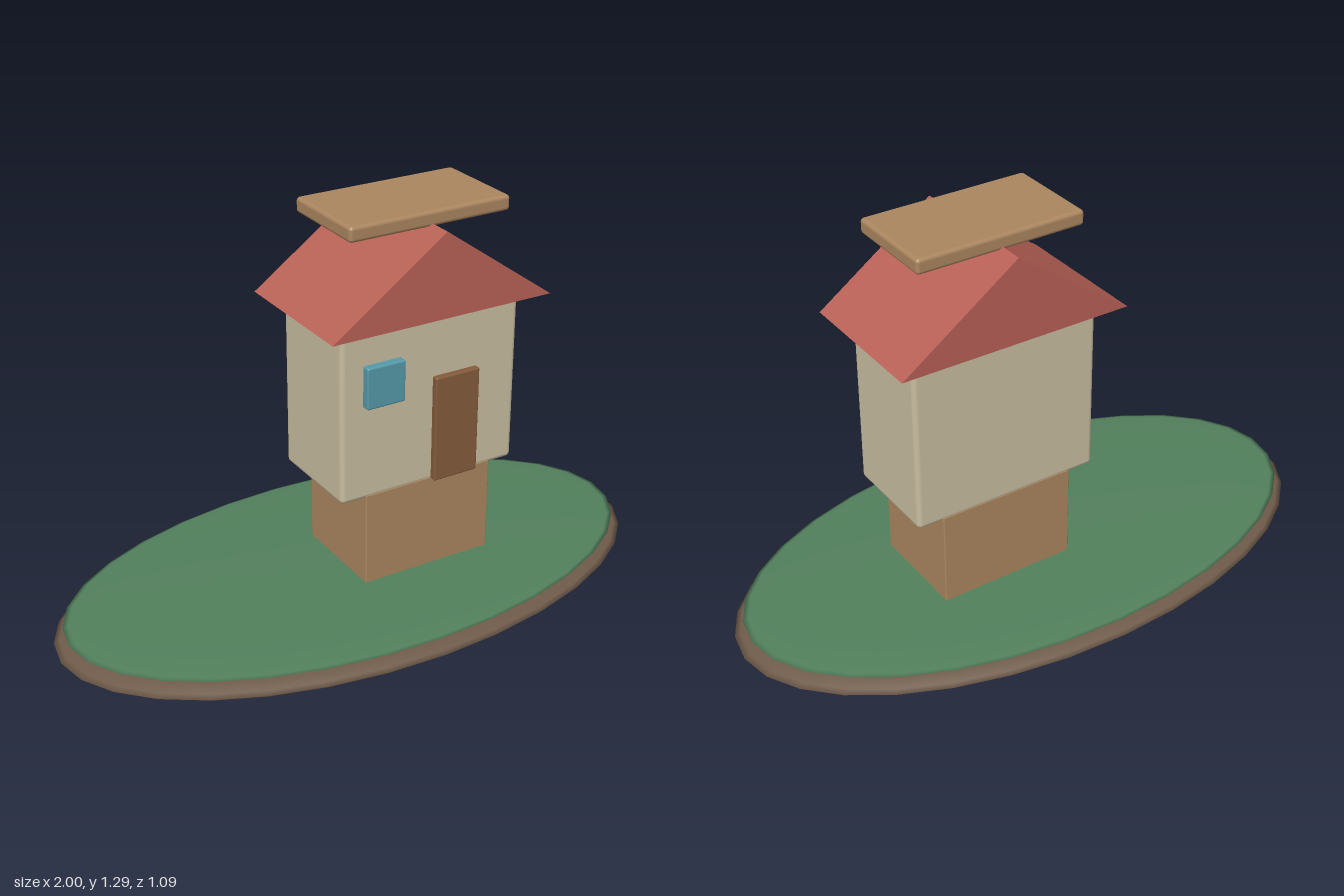
import * as THREE from 'three';
import { RoundedBoxGeometry } from 'three/addons/geometries/RoundedBoxGeometry.js';

const mat = (name, color) => {
  const m = new THREE.MeshStandardMaterial({ color });
  m.name = name;
  return m;
};

export function createModel() {
  const model = new THREE.Group();
  model.name = 'houseOnIsland';

  const earth = mat('earthBrown', 0x6e5a49);
  const grass = mat('grassGreen', 0x52805c);
  const wood = mat('lightWood', 0xab865f);
  const plaster = mat('plasterCream', 0xc9bda0);
  const tile = mat('roofRed', 0xb86156);
  const doorWood = mat('doorBrown', 0x855b3d);
  const glass = mat('windowBlue', 0x5599a9);

  const add = (name, geometry, material, x, y, z) => {
    const mesh = new THREE.Mesh(geometry, material);
    mesh.name = name;
    mesh.position.set(x, y, z);
    model.add(mesh);
    return mesh;
  };

  // Box given by its two extreme corners, with softened edges
  const box = (name, material, [x0, y0, z0], [x1, y1, z1], radius) => {
    const size = [x1 - x0, y1 - y0, z1 - z0];
    const geometry = radius
      ? new RoundedBoxGeometry(...size, 3, radius)
      : new THREE.BoxGeometry(...size);
    return add(name, geometry, material, (x0 + x1) / 2, (y0 + y1) / 2, (z0 + z1) / 2);
  };

  // Island: two flattened spheres
  const disc = (name, material, y, rx, ry, rz) =>
    add(name, new THREE.SphereGeometry(1, 32, 16).scale(rx, ry, rz), material, 0, y, 0);
  disc('islandBase', earth, 0.058, 1, 0.055, 0.545);
  disc('grassTop', grass, 0.105, 0.97, 0.017, 0.525);

  // House
  box('lowerFloor', wood, [-0.053, 0.09, -0.17], [0.4, 0.43, 0.17], 0.004);
  box('upperFloor', plaster, [-0.14, 0.42, -0.17], [0.485, 0.987, 0.17], 0.016);
  box('door', doorWood, [0.18, 0.425, 0.165], [0.337, 0.775, 0.191], 0.005);
  box('window', glass, [-0.065, 0.732, 0.165], [0.067, 0.867, 0.196], 0.006);

  // Gabled roof, ridge running front to back
  const gable = new THREE.Shape([
    new THREE.Vector2(-0.38, 0),
    new THREE.Vector2(0.38, 0),
    new THREE.Vector2(0, 0.27),
  ]);
  const roofGeometry = new THREE.ExtrudeGeometry(gable, { depth: 0.47, bevelEnabled: false });
  add('roof', roofGeometry, tile, 0.175, 0.988, -0.235);

  // Plank lying across the ridge
  box('ridgePlank', wood, [-0.102, 1.247, -0.157], [0.45, 1.296, 0.157], 0.012);

  return model;
}
